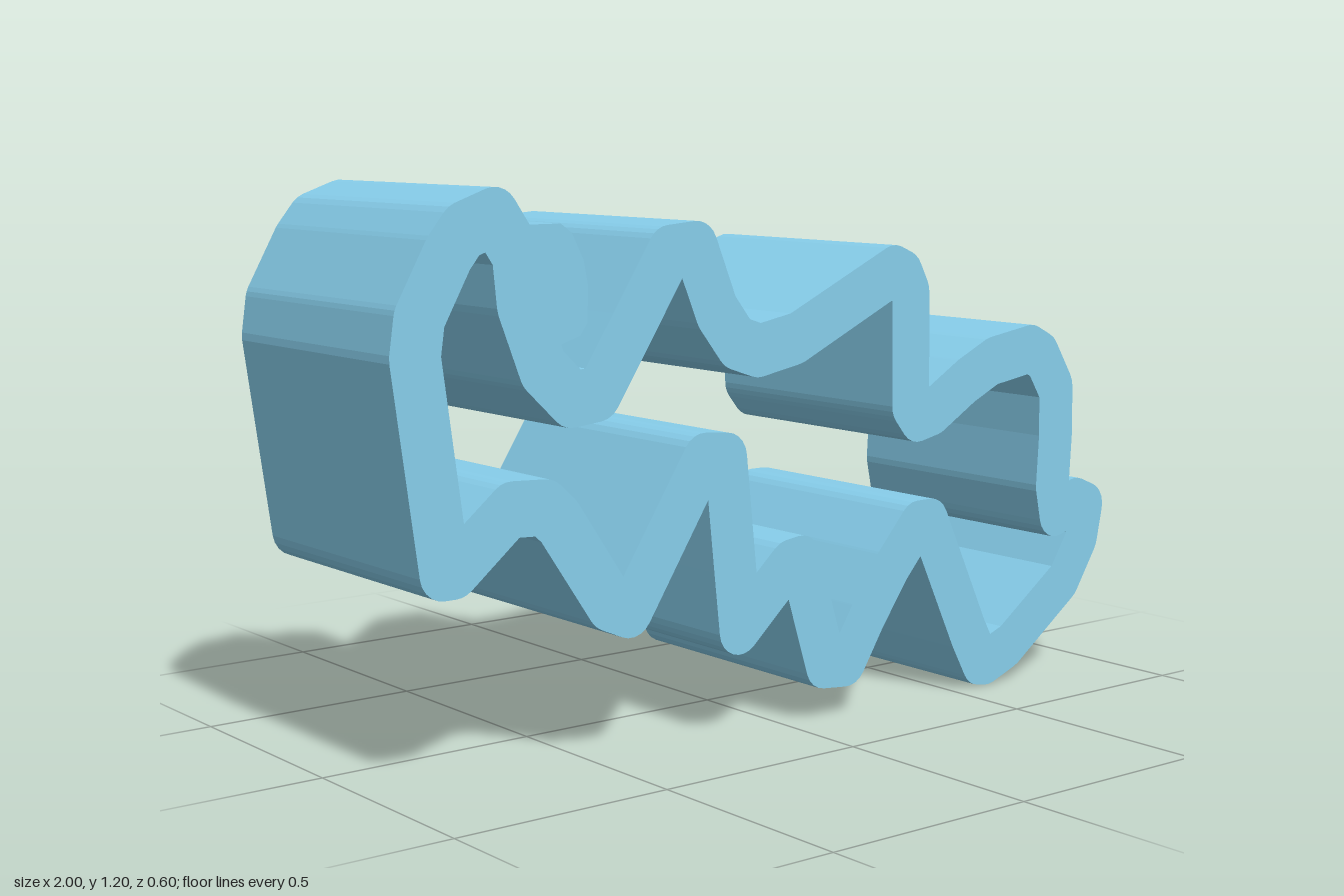
import * as THREE from 'three';

const DEPTH = 0.595, HALF_WALL = 0.057;

// centre line of the wall, counter-clockwise
const CENTRE = [
  [-0.76, 1.143], [-0.83, 1.118], [-0.865, 1.075], [-0.932, 0.955], [-0.943, 0.88], [-0.885, 0.46],
  [-0.86, 0.46], [-0.73, 0.566], [-0.65, 0.562], [-0.615, 0.53], [-0.49, 0.345], [-0.437, 0.322],
  [-0.245, 0.62], [-0.185, 0.615], [-0.16, 0.38], [-0.145, 0.243], [-0.01, 0.365], [0.025, 0.37],
  [0.1, 0.13], [0.165, 0.124], [0.225, 0.22], [0.3, 0.325], [0.375, 0.41], [0.415, 0.41], [0.545, 0.135],
  [0.585, 0.062], [0.61, 0.058], [0.68, 0.085], [0.865, 0.22], [0.925, 0.315], [0.941, 0.393],
  [0.9, 0.41], [0.835, 0.388], [0.82, 0.46], [0.827, 0.58], [0.825, 0.69], [0.775, 0.77], [0.735, 0.79],
  [0.61, 0.77], [0.525, 0.73], [0.425, 0.67], [0.375, 0.659], [0.35, 0.69], [0.346, 0.94],
  [0.325, 0.98], [0.295, 0.993], [0.01, 0.86], [-0.095, 0.84], [-0.155, 0.86], [-0.21, 0.93],
  [-0.265, 1.063], [-0.335, 1.057], [-0.43, 0.91], [-0.515, 0.78], [-0.58, 0.773], [-0.65, 0.84],
  [-0.7, 0.97], [-0.71, 1.07]
].map(([x, y]) => new THREE.Vector2(x, y));

// Parallel curve of a closed path: round outside the bends, sharp inside them
function offsetPath(path, d) {
  let edges = path.map((p, i) => {
    const q = path[(i + 1) % path.length];
    const dir = q.clone().sub(p).normalize();
    const n = new THREE.Vector2(dir.y, -dir.x).multiplyScalar(d);
    return { i, dir, q, a: p.clone().add(n), b: q.clone().add(n) };
  });
  for (;;) {
    const count = edges.length;
    const joins = edges.map((e, k) => {
      const f = edges[(k + 1) % count];
      const turn = e.dir.cross(f.dir);
      const adjacent = (e.i + 1) % path.length === f.i;
      if (adjacent && (turn * d > 0 || Math.abs(turn) < 1e-3)) return [e.b, f.a];
      const t = f.a.clone().sub(e.a).cross(f.dir) / turn;
      const m = e.a.clone().addScaledVector(e.dir, t);
      return [m, m];
    });
    // drop the most reversed edge, then join its neighbours
    let worst = -1, least = -1e-6;
    edges.forEach((e, k) => {
      const run = joins[k][0].clone().sub(joins[(k + count - 1) % count][1]).dot(e.dir);
      if (run < least) { least = run; worst = k; }
    });
    if (worst >= 0) { edges.splice(worst, 1); continue; }
    // emit the points, with arcs on the outside of bends
    const out = [];
    joins.forEach(([s, e], k) => {
      out.push(s);
      if (s.distanceTo(e) < 1e-4) return;
      const c = edges[k].q;
      const from = s.clone().sub(c), sweep = Math.atan2(from.cross(e.clone().sub(c)), from.dot(e.clone().sub(c)));
      const steps = Math.max(1, Math.ceil(Math.abs(sweep) / 0.3));
      for (let j = 1; j < steps; j++) out.push(s.clone().rotateAround(c, sweep * j / steps));
      out.push(e);
    });
    return out;
  }
}

function extrude(name, shape, material) {
  const geometry = new THREE.ExtrudeGeometry(shape, { depth: DEPTH, bevelEnabled: false });
  geometry.translate(0, 0, -DEPTH / 2);
  const mesh = new THREE.Mesh(geometry, material);
  mesh.name = name;
  return mesh;
}

export function createModel() {
  const group = new THREE.Group();
  group.name = 'wavyRing';
  const material = new THREE.MeshStandardMaterial({ color: 0x87ceeb });

  // closed band of even thickness
  const wall = new THREE.Shape(offsetPath(CENTRE, HALF_WALL));
  wall.holes.push(new THREE.Path(offsetPath(CENTRE, -HALF_WALL)));
  group.add(extrude('wall', wall, material));

  // solid fold standing out of the band near the upper end
  const fold = new THREE.Shape([
    [-0.7, 1.125], [-0.72, 1.05], [-0.7, 0.94], [-0.65, 0.88], [-0.605, 0.886], [-0.56, 0.9], [-0.542, 0.925],
    [-0.54, 1.0], [-0.55, 1.05], [-0.578, 1.105], [-0.605, 1.125]
  ].map(([x, y]) => new THREE.Vector2(x, y)));
  group.add(extrude('fold', fold, material));

  return group;
}
